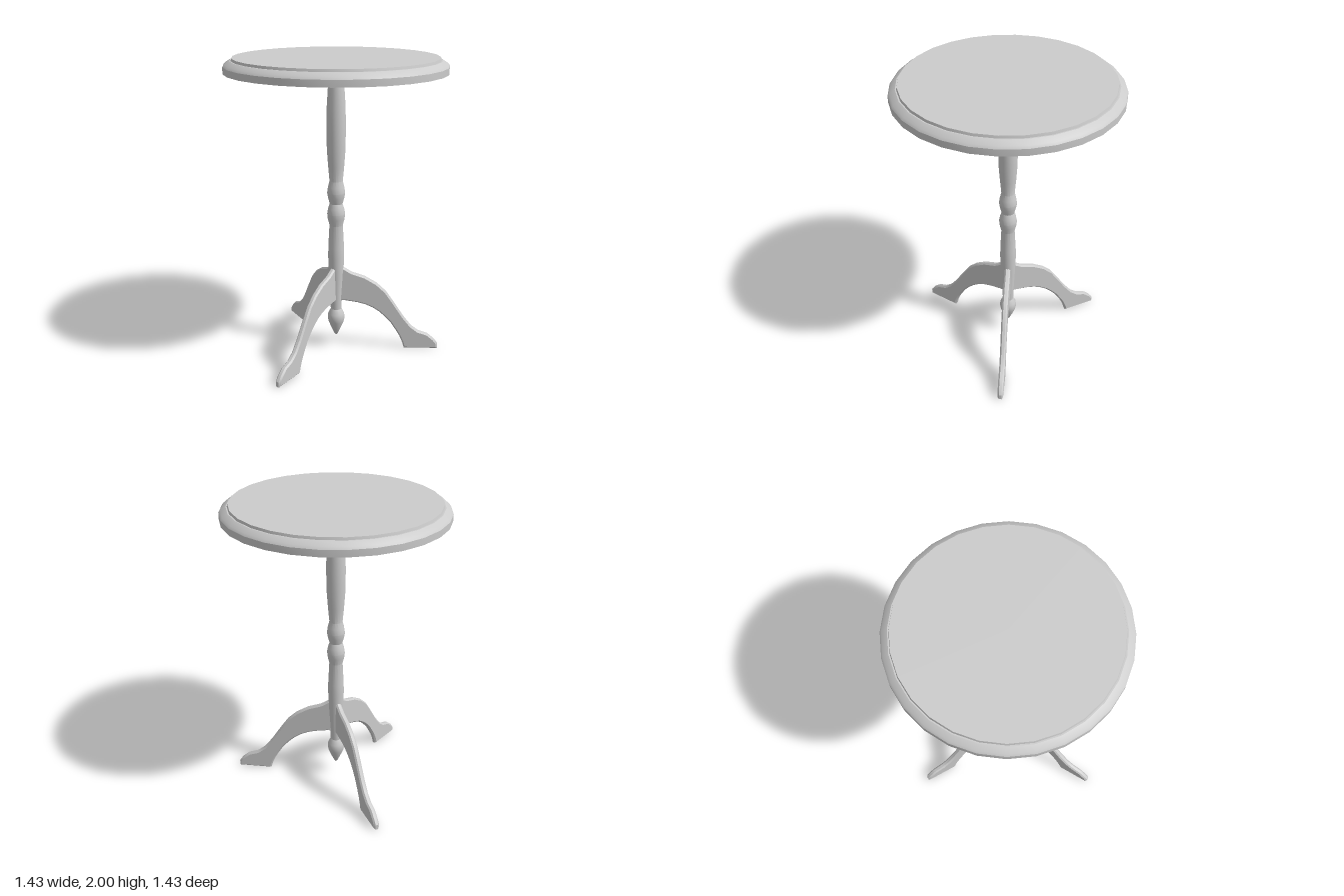
import * as THREE from 'three';
import { toCreasedNormals } from 'three/addons/utils/BufferGeometryUtils.js';

const material = new THREE.MeshStandardMaterial({ color: 0xcccccc });
const points = (list) => list.map(([x, y]) => new THREE.Vector2(x, y));

// Turned part from a [radius, height] profile, listed bottom to top
function turned(name, profile, sides, crease) {
  const geometry = toCreasedNormals(new THREE.LatheGeometry(points(profile), sides), crease);
  const mesh = new THREE.Mesh(geometry, material);
  mesh.name = name;
  return mesh;
}

// Flat sawn leg with softened edges, reaching out along +x
function legGeometry() {
  const thickness = 0.038, bevel = 0.01;
  const outline = new THREE.Shape(points([
    [0, 0.35], [0.06, 0.348], [0.145, 0.335], [0.2, 0.32], [0.25, 0.298], [0.295, 0.268],
    [0.335, 0.232], [0.375, 0.188], [0.41, 0.135], [0.437, 0.09], [0.458, 0.04], [0.47, 0],
    [0.7, 0], [0.7, 0.035], [0.675, 0.067], [0.63, 0.105], [0.565, 0.127], [0.515, 0.165],
    [0.46, 0.235], [0.395, 0.335], [0.34, 0.415], [0.275, 0.475], [0.195, 0.522],
    [0.105, 0.552], [0.06, 0.58], [0.03, 0.602], [0, 0.602],
  ]));
  const geometry = new THREE.ExtrudeGeometry(outline, {
    depth: thickness - 2 * bevel,
    bevelEnabled: true, bevelThickness: bevel, bevelSize: bevel, bevelOffset: -bevel, bevelSegments: 1,
  });
  geometry.translate(0, 0, bevel - thickness / 2);
  return toCreasedNormals(geometry, 0.5);
}

export function createModel() {
  const table = new THREE.Group();
  table.name = 'pedestalTable';

  // Round top with a moulded rim and a small raised step
  table.add(turned('tabletop', [
    [0, 1.905], [0.717, 1.905], [0.717, 1.948], [0.706, 1.963], [0.672, 1.984],
    [0.664, 1.984], [0.66, 2], [0, 2],
  ], 28, 0.5));

  // Turned column with two beads
  table.add(turned('column', [
    [0.037, 0.28], [0.039, 0.36], [0.048, 0.52], [0.054, 0.66], [0.053, 0.73], [0.045, 0.885],
    [0.056, 0.93], [0.06, 0.965], [0.054, 1.0], [0.043, 1.035],
    [0.054, 1.075], [0.06, 1.11], [0.054, 1.15], [0.044, 1.19],
    [0.053, 1.29], [0.061, 1.4], [0.063, 1.54], [0.061, 1.68], [0.053, 1.81], [0.045, 1.906],
  ], 16, 0.45));

  // Pointed drop below the column
  table.add(turned('finial', [
    [0, 0.088], [0.012, 0.1], [0.035, 0.15], [0.052, 0.19], [0.058, 0.22],
    [0.055, 0.25], [0.037, 0.287], [0, 0.287],
  ], 16, 0.6));

  // Three legs spaced evenly around the column
  const geometry = legGeometry();
  for (let i = 0; i < 3; i++) {
    const leg = new THREE.Mesh(geometry, material);
    leg.name = `leg${i + 1}`;
    leg.rotation.y = (i * Math.PI * 2) / 3;
    table.add(leg);
  }
  return table;
}
